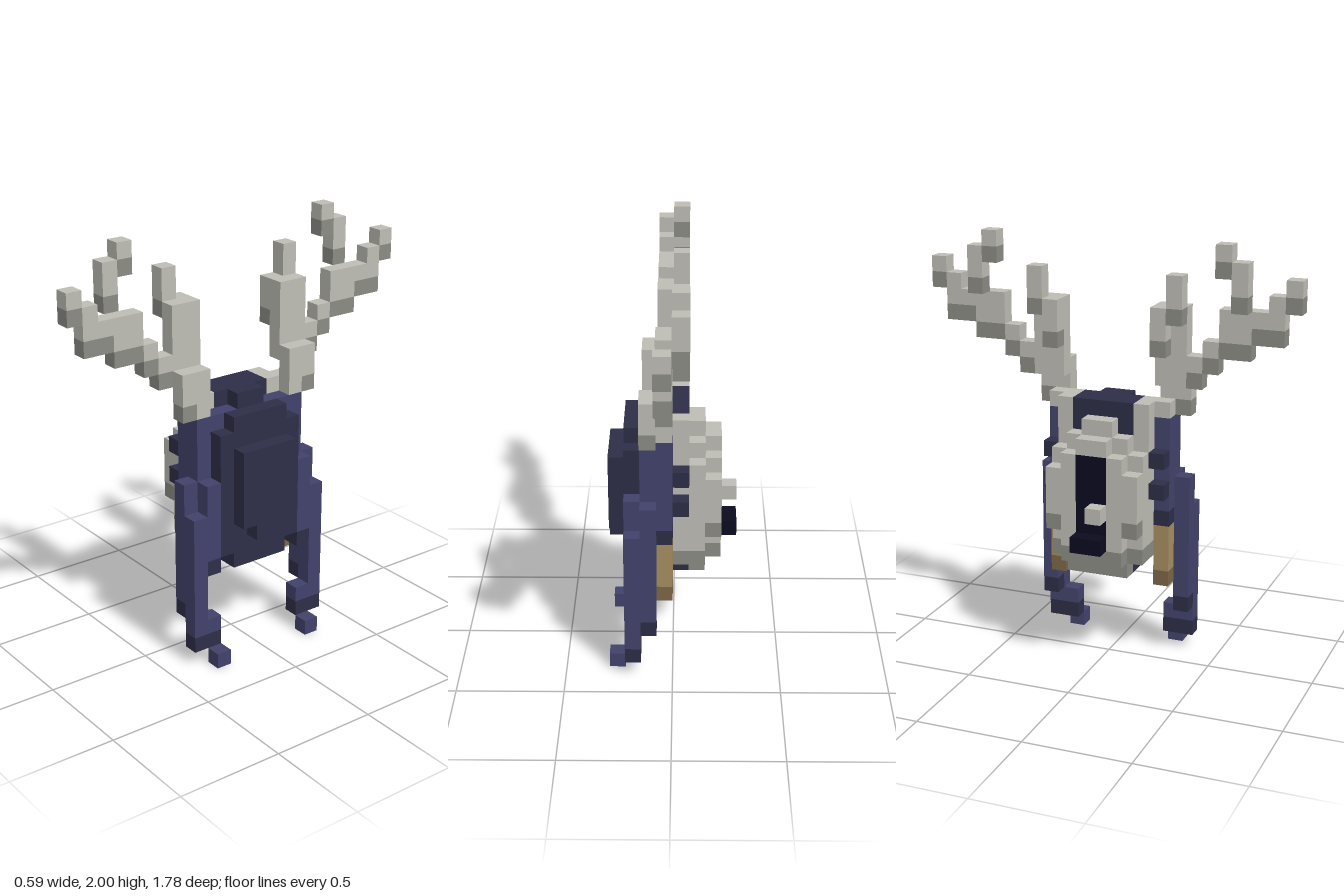
import * as THREE from 'three';

const U = 2 / 27; // one block

const mat = (name, color) => {
  const m = new THREE.MeshStandardMaterial({ color });
  m.name = name;
  return m;
};

export function createModel() {
  const model = new THREE.Group();
  const bone = mat('bone', 0xbdbcb4), boneDark = mat('boneDark', 0x8b8b84);
  const navy = mat('navy', 0x42426b), navyDark = mat('navyDark', 0x2d2d47);
  const tan = mat('tan', 0xa58d5f), tanDark = mat('tanDark', 0x7b6646);
  const black = mat('black', 0x0b0b20);

  // Box between block coordinates: x, y and z ranges
  function box(parent, name, material, [x0, x1], [y0, y1], [z0, z1]) {
    const g = new THREE.BoxGeometry((x1 - x0) * U, (y1 - y0) * U, (z1 - z0) * U);
    g.translate((x0 + x1) / 2 * U, (y0 + y1) / 2 * U, (z0 + z1) / 2 * U);
    const m = new THREE.Mesh(g, material);
    m.name = name;
    parent.add(m);
  }
  // Box whose lowest block row has the darker tone
  function column(parent, name, light, dark, x, [y0, y1], z) {
    box(parent, name, light, x, [y0 + 1, y1], z);
    box(parent, name + 'Base', dark, x, [y0, y0 + 1], z);
  }
  const group = (name) => {
    const g = new THREE.Group();
    g.name = name;
    model.add(g);
    return g;
  };

  // Body and hood
  const body = group('body');
  column(body, 'torso', navy, navyDark, [0, 2], [7, 16], [-3, 3]);
  box(body, 'belly', navyDark, [-1, 3], [6, 7], [-2, 2]);
  box(body, 'hoodFront', navyDark, [-1, 0], [7, 17], [-2, 2]);
  box(body, 'hoodTop', navyDark, [0, 1], [16, 17], [-2, 2]);
  box(body, 'hoodRidge', navyDark, [1, 2], [16, 17], [-1, 1]);
  box(body, 'backPlate', navyDark, [2, 3], [7, 15], [-3, 3]);
  box(body, 'backPlateTop', navyDark, [2, 3], [15, 16], [-2, 2]);
  box(body, 'backHump', navyDark, [3, 4], [9, 14], [-2, 2]);
  box(body, 'backHumpBase', navyDark, [3, 4], [8, 9], [-1, 1]);

  // Bone mask with a dark centre
  const mask = group('mask');
  column(mask, 'maskCentre', bone, boneDark, [-2, -1], [6, 16], [-1, 1]);
  box(mask, 'maskBrow', bone, [-3, -2], [14, 15], [-1, 1]);
  box(mask, 'maskHollow', black, [-3, -2], [8, 14], [-1, 1]);
  box(mask, 'maskChin', boneDark, [-3, -2], [7, 8], [-1, 1]);
  box(mask, 'lip', black, [-4, -3], [8, 9], [-1, 1]);
  box(mask, 'tooth', bone, [-4, -3], [10, 11], [0, 1]);

  for (const s of [1, -1]) {
    const side = s > 0 ? 'left' : 'right';
    const z = (a) => (s > 0 ? [a, a + 1] : [-a - 1, -a]);
    const z2 = (a) => (s > 0 ? [a, a + 2] : [-a - 2, -a]);

    // Rounded sides of the mask
    column(mask, 'maskCheek', bone, boneDark, [-3, -2], [7, 14], z(1));
    column(mask, 'maskOuterCheek', bone, boneDark, [-3, -2], [9, 13], z(2));
    column(mask, 'maskSide', bone, boneDark, [-2, -1], [6, 15], z(1));
    column(mask, 'maskOuterSide', bone, boneDark, [-2, -1], [7, 14], z(2));
    column(mask, 'maskRim', bone, boneDark, [-1, 0], [7, 16], z(2));

    // Shoulder, claws and arm
    const limb = group(side + 'Limb');
    column(limb, 'shoulderFront', navy, navyDark, [0, 1], [9, 16], z(3));
    column(limb, 'shoulder', navy, navyDark, [1, 2], [6, 16], z(3));
    column(limb, 'shoulderBack', navy, navyDark, [2, 3], [6, 12], z(3));
    for (const y of [11, 13]) box(limb, 'claw', navyDark, [-1, 0], [y, y + 1], z(3));
    column(limb, 'arm', tan, tanDark, [0, 1], [5, 9], z(3));

    // Long trailing leg and foot
    column(limb, 'legFront', navy, navyDark, [1, 2], [3, 12], z(4));
    column(limb, 'legBack', navy, navyDark, [2, 3], [1, 10], z(4));
    column(limb, 'ankle', navy, navyDark, [2, 3], [1, 3], z(3));
    box(limb, 'foot', navy, [3, 4], [0, 1], z(3));

    // Antler root and upright slab
    const antler = group(side + 'Antler');
    box(antler, 'antlerRoot', bone, [-1, 1], [16, 17], z(2));
    box(antler, 'antlerRoot', bone, [0, 2], [16, 17], z(3));
    column(antler, 'antlerStem', bone, boneDark, [1, 2], [16, 19], z(4));
    box(antler, 'antlerStemInner', bone, [1, 2], [17, 19], z(3));
    box(antler, 'antlerSlab', bone, [0, 1], [18, 23], z2(3));
    column(antler, 'innerProng', bone, boneDark, [-1, 0], [20, 23], z(3));
    column(antler, 'innerTip', bone, boneDark, [-1, 0], [22, 25], z(4));

    // Outward branch: start of each column, bottom and top
    for (const [a, y0, y1] of [[5, 18, 20], [6, 19, 21], [7, 20, 23], [8, 20, 23],
      [9, 21, 23], [10, 21, 24], [11, 23, 25]])
      column(antler, 'antlerBranch', bone, boneDark, [0, 1], [y0, y1], z(a));

    // Raised prong with its tip
    column(antler, 'outerProng', bone, boneDark, [-1, 0], [23, 26], z(8));
    column(antler, 'outerTip', bone, boneDark, [-1, 0], [25, 27], z(7));
  }
  return model;
}
